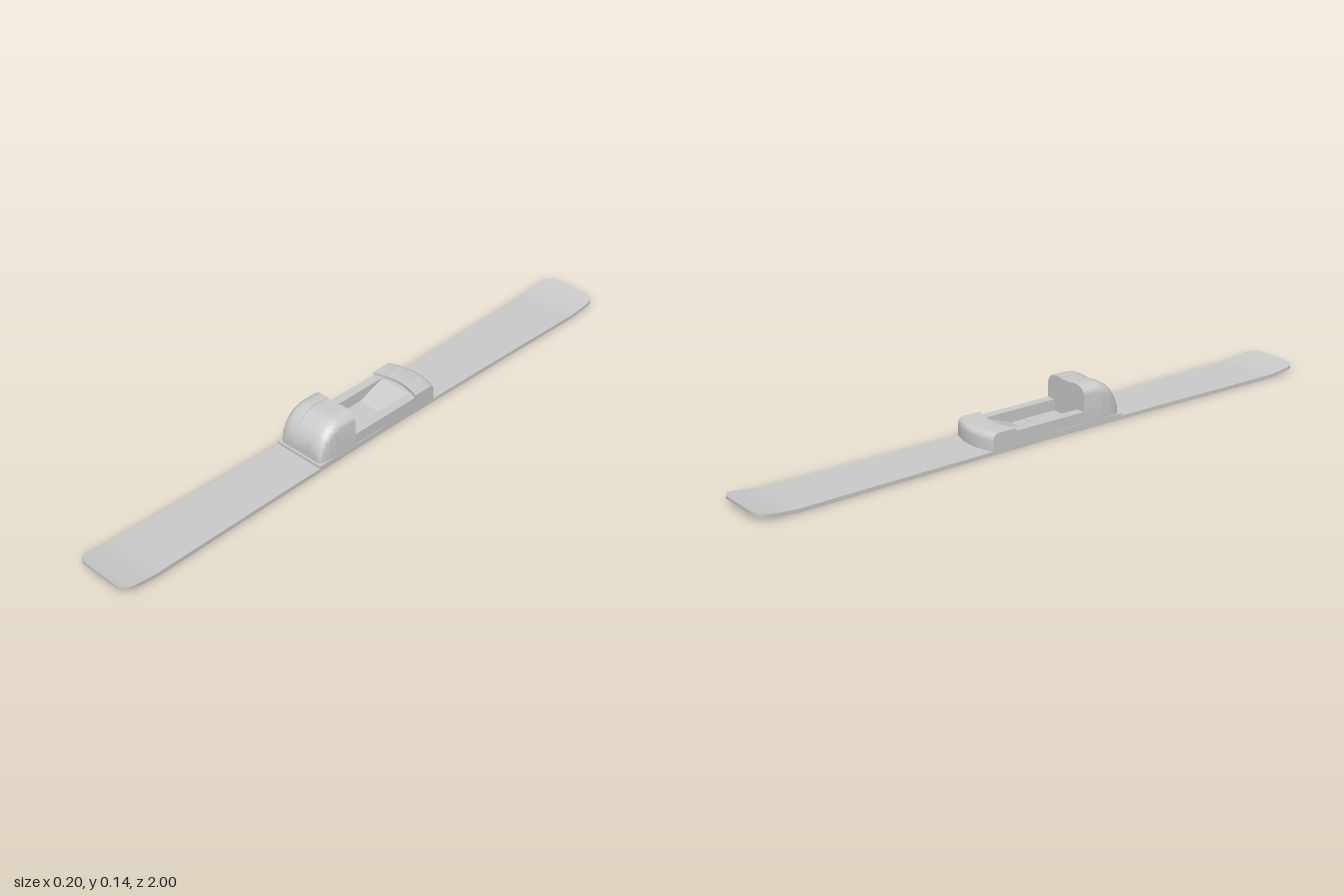
import * as THREE from 'three';
import { toCreasedNormals } from 'three/addons/utils/BufferGeometryUtils.js';

const material = new THREE.MeshStandardMaterial({ color: 0xcccccc });

// Skin a list of closed rings {s, ring: [[x, y], ...]} stacked along +z, with end caps.
// Rings run counter-clockwise seen from +z.
function loft(sections, crease = 0.55) {
  const n = sections[0].ring.length;
  const pos = [];
  const index = [];
  for (const { s, ring } of sections) for (const [x, y] of ring) pos.push(x, y, s);
  for (let i = 0; i < sections.length - 1; i++) {
    for (let j = 0; j < n; j++) {
      const k = (j + 1) % n;
      const a = i * n + j, b = i * n + k, c = a + n, d = b + n;
      index.push(a, b, d, a, d, c);
    }
  }
  const cap = (i, flip) => {
    const points = sections[i].ring.map(([x, y]) => new THREE.Vector2(x, y));
    for (const [a, b, c] of THREE.ShapeUtils.triangulateShape(points, [])) {
      const o = i * n;
      index.push(o + a, o + (flip ? c : b), o + (flip ? b : c));
    }
  };
  cap(0, true);
  cap(sections.length - 1, false);
  const geometry = new THREE.BufferGeometry();
  geometry.setAttribute('position', new THREE.Float32BufferAttribute(pos, 3));
  geometry.setIndex(index);
  return toCreasedNormals(geometry, crease);
}

function add(group, name, geometry) {
  const mesh = new THREE.Mesh(geometry, material);
  mesh.name = name;
  group.add(mesh);
  return mesh;
}

function box(group, name, x0, x1, y0, y1, z0, z1) {
  const mesh = add(group, name, new THREE.BoxGeometry(x1 - x0, y1 - y0, z1 - z0));
  mesh.position.set((x0 + x1) / 2, (y0 + y1) / 2, (z0 + z1) / 2);
}

// Long board: narrow waist, rounded corners, both tips turned up
function skiGeometry() {
  const stations = [];
  for (let i = 0; i <= 16; i++) stations.push(0.86 * i / 16);
  for (let i = 1; i <= 5; i++) stations.push(0.86 + 0.1 * i / 5);
  for (let i = 1; i <= 8; i++) stations.push(0.96 + 0.04 * Math.sin(i / 8 * Math.PI / 2));
  const all = [...stations.slice(1).reverse().map((z) => -z), ...stations];
  return loft(all.map((z) => {
    const a = Math.abs(z);
    const corner = Math.max(0, (a - 0.96) / 0.04);
    const w = 0.084 + 0.015 * Math.pow(a, 1.3) - 0.04 * (1 - Math.sqrt(Math.max(0, 1 - corner * corner)));
    const t = Math.max(0, (a - 0.87) / 0.13);
    const y = 0.019 * Math.pow(t, 1.4);
    const top = y + 0.012 - 0.003 * t;
    return { s: z, ring: [[-w, y], [w, y], [w, top], [-w, top]] };
  }), 0.7);
}

// Toe cap: domed front, rounded shoulders, shallow channel down the middle
function toeSection(z, w, h) {
  const base = 0.012;
  const r = Math.min(0.034, (h - base) * 0.6);
  const half = [];
  for (let i = 0; i <= 7; i++) {
    const a = i / 7 * Math.PI / 2;
    half.push([w - r + r * Math.cos(a), h - r + r * Math.sin(a)]);
  }
  half.push([0.027, h], [0.026, h - 0.003]);
  const mirrored = half.map(([x, y]) => [-x, y]).reverse();
  return { s: z, ring: [[-w, base], [w, base], ...half, ...mirrored] };
}

function toeGeometry() {
  const sections = [toeSection(0.115, 0.087, 0.135)];
  for (let i = 0; i <= 14; i++) {
    const a = i / 14 * Math.PI / 2;
    const c = Math.max(0, Math.cos(a));
    sections.push(toeSection(0.165 + 0.09 * Math.sin(a), 0.065 + 0.022 * Math.pow(c, 0.4), 0.035 + 0.1 * c));
  }
  return loft(sections);
}

// Heel block: bowed backward in plan, with a rounded rear edge
function heelGeometry() {
  const sections = [];
  for (let i = 0; i <= 16; i++) {
    const s = -0.088 + 0.176 * i / 16;
    const bow = 0.02 * (1 - (s / 0.088) ** 2);
    const ring = [[0.14, 0.01], [0.222, 0.01]];
    for (let k = 0; k <= 6; k++) {
      const a = k / 6 * Math.PI / 2;
      ring.push([0.202 + 0.02 * Math.cos(a), 0.047 + 0.02 * Math.sin(a)]);
    }
    ring.push([0.14, 0.066]);
    sections.push({ s, ring: ring.map(([u, y]) => [u + bow, y]) });
  }
  return loft(sections).rotateY(Math.PI / 2);
}

export function createModel() {
  const group = new THREE.Group();
  group.name = 'ski';
  add(group, 'board', skiGeometry());

  const binding = new THREE.Group();
  binding.name = 'binding';
  group.add(binding);
  box(binding, 'basePlate', -0.084, 0.084, 0.008, 0.02, -0.2, 0.12);
  box(binding, 'toePlate', -0.088, 0.088, 0.008, 0.021, 0, 0.262);
  add(binding, 'toeCap', toeGeometry());
  add(binding, 'heelBlock', heelGeometry());

  // Side rails joining toe and heel
  for (const side of [-1, 1]) {
    const [a, b] = [side * 0.056, side * 0.086].sort((p, q) => p - q);
    box(binding, side > 0 ? 'leftRail' : 'rightRail', a, b, 0.01, 0.057, -0.165, 0.12);
  }

  // Sloped floor rising to the heel
  const ramp = [[0.05, 0.01], [0.175, 0.01], [0.175, 0.056], [0.145, 0.054], [0.05, 0.02]];
  add(binding, 'heelRamp', loft([{ s: -0.057, ring: ramp }, { s: 0.057, ring: ramp }], 0.1).rotateY(Math.PI / 2));
  return group;
}
